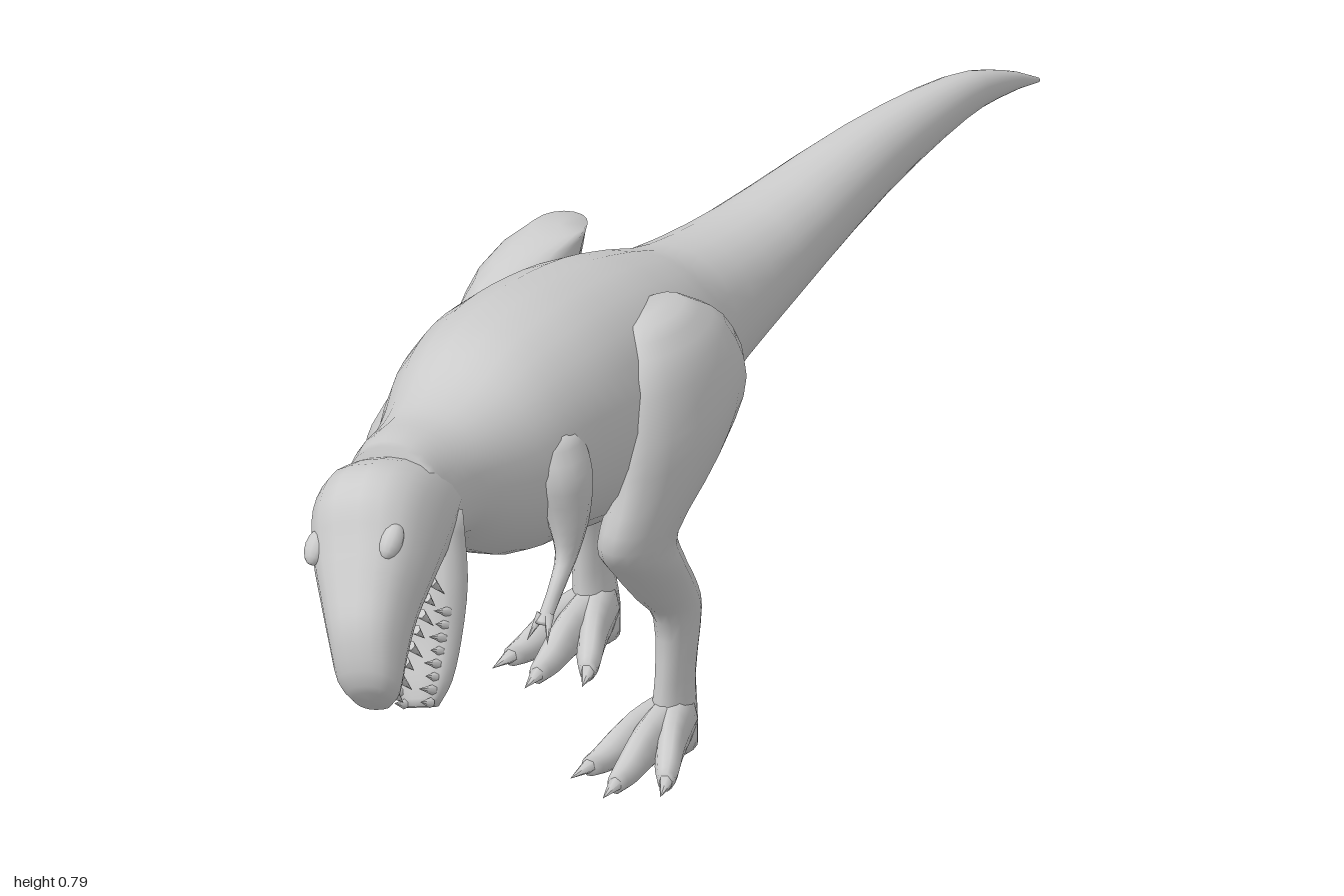
import * as THREE from 'three';

const V = (x, y, z) => new THREE.Vector3(x, y, z);
const material = new THREE.MeshStandardMaterial({ color: 0xcccccc, side: THREE.DoubleSide });

function addMesh(group, name, geometry) {
  const mesh = new THREE.Mesh(geometry, material);
  mesh.name = name;
  group.add(mesh);
  return mesh;
}

// Smooth skin through elliptical sections [x, y, z, halfWidth, halfHeight] lying along two fixed axes
function loft(sections, side, up, { sides = 18, steps = 3, power = 2 } = {}) {
  const path = new THREE.CatmullRomCurve3(sections.map(s => V(s[0], s[1], s[2])), false, 'catmullrom');
  const size = new THREE.CatmullRomCurve3(sections.map(s => V(s[3], s[4], 0)), false, 'catmullrom');
  const rows = (sections.length - 1) * steps;
  const positions = [], index = [];
  const ring = (t, scale) => {
    const c = path.getPoint(t), r = size.getPoint(t);
    for (let i = 0; i < sides; i++) {
      const a = i / sides * Math.PI * 2, co = Math.cos(a), si = Math.sin(a);
      const round = v => Math.sign(v) * Math.pow(Math.abs(v), 2 / power) * scale;
      const p = c.clone().addScaledVector(side, round(co) * r.x).addScaledVector(up, round(si) * r.y);
      positions.push(p.x, p.y, p.z);
    }
  };
  ring(0, 0);
  for (let j = 0; j <= rows; j++) ring(j / rows, 1);
  ring(1, 0);
  const along = path.getPoint(1).sub(path.getPoint(0));
  const forward = side.clone().cross(up).dot(along) > 0;
  for (let j = 0; j < rows + 2; j++) {
    for (let i = 0; i < sides; i++) {
      const a = j * sides + i, b = j * sides + (i + 1) % sides, c = a + sides, d = b + sides;
      if (forward) index.push(a, b, d, a, d, c);
      else index.push(a, d, b, a, c, d);
    }
  }
  const g = new THREE.BufferGeometry();
  g.setAttribute('position', new THREE.Float32BufferAttribute(positions, 3));
  g.setIndex(index);
  g.computeVertexNormals();
  return g;
}

// Cone with its base at a point, aimed along a direction
function spike(group, name, base, dir, radius, length) {
  const m = addMesh(group, name, new THREE.ConeGeometry(radius, length, 6).translate(0, length / 2, 0));
  m.position.copy(base);
  m.quaternion.setFromUnitVectors(V(0, 1, 0), dir.clone().normalize());
}

const X = V(1, 0, 0), Y = V(0, 1, 0), Z = V(0, 0, 1);

function addTeeth(group, name, from, to, side, dir, widths, count) {
  for (let i = 0; i < count; i++) {
    const t = i / (count - 1);
    for (const s of [-1, 1]) {
      const p = from.clone().lerp(to, t).addScaledVector(side, s * THREE.MathUtils.lerp(widths[0], widths[1], t));
      spike(group, name, p, dir, 0.008, i % 2 ? 0.03 : 0.042);
    }
  }
}

// Head is turned, rolled and pitched downward with the mouth open
function makeHead() {
  const head = new THREE.Group();
  head.name = 'head';
  const up = V(-0.17, 0.72, 0.67).normalize();
  const side = up.clone().cross(V(0.2, -0.68, 0.7)).normalize();
  addMesh(head, 'skullAndSnout', loft([
    [0, 0.64, 0.63, 0.065, 0.08], [0.01, 0.65, 0.73, 0.088, 0.113], [0.02, 0.63, 0.80, 0.094, 0.112],
    [0.033, 0.595, 0.85, 0.088, 0.09], [0.05, 0.55, 0.90, 0.07, 0.073], [0.068, 0.505, 0.94, 0.056, 0.062],
    [0.08, 0.455, 0.96, 0.046, 0.045], [0.085, 0.43, 0.962, 0.028, 0.028],
  ], side, up, { power: 2.3 }));

  const jawUp = V(-0.1, 0.38, 0.9).normalize();
  const jawSide = jawUp.clone().cross(V(0.05, -0.2, 0.09)).normalize();
  addMesh(head, 'lowerJaw', loft([
    [0.03, 0.62, 0.70, 0.07, 0.05], [0.055, 0.53, 0.742, 0.075, 0.048], [0.078, 0.455, 0.778, 0.062, 0.034],
    [0.093, 0.4, 0.807, 0.046, 0.026], [0.1, 0.368, 0.825, 0.026, 0.016],
  ], jawSide, jawUp, { power: 2.4 }));

  addTeeth(head, 'upperTooth', V(0.045, 0.55, 0.812), V(0.083, 0.43, 0.938), side, up.clone().negate(), [0.066, 0.028], 8);
  addTeeth(head, 'lowerTooth', V(0.065, 0.495, 0.782), V(0.098, 0.378, 0.836), jawSide, jawUp, [0.058, 0.022], 8);

  // Brow ridges over the eyes
  for (const s of [-1, 1]) {
    const brow = addMesh(head, 'brow', new THREE.SphereGeometry(1, 12, 8));
    brow.scale.set(0.018, 0.03, 0.018);
    brow.position.set(0.03, 0.6, 0.85).addScaledVector(side, s * 0.062).addScaledVector(up, 0.058);
    brow.rotation.x = 2.3;
  }
  return head;
}

// Leg sections run from hip to sole; toes fan forward from the ankle
function makeLeg(name, sections, ankleX, ankleZ) {
  const leg = new THREE.Group();
  leg.name = name;
  addMesh(leg, 'thighAndShin', loft(sections, X, Z, { sides: 16 }));
  for (const s of [-1, 0, 1]) {
    const length = s ? 0.155 : 0.195;
    const tipX = ankleX + s * 0.062, tipZ = ankleZ + length;
    addMesh(leg, 'toe', loft([
      [ankleX, 0.05, ankleZ - 0.01, 0.035, 0.045],
      [ankleX + s * 0.03, 0.042, ankleZ + length * 0.45, 0.024, 0.038],
      [ankleX + s * 0.05, 0.025, ankleZ + length * 0.8, 0.02, 0.023],
      [tipX, 0.02, tipZ, 0.013, 0.016],
    ], X, Y, { sides: 10 }));
    spike(leg, 'claw', V(tipX, 0.021, tipZ - 0.008), V(s * 0.25, -0.15, 1), 0.013, 0.05);
  }
  return leg;
}

// Small two-fingered arm, mirrored by the sign of x
function makeArm(name, s) {
  const arm = new THREE.Group();
  arm.name = name;
  addMesh(arm, 'shoulderAndForearm', loft([
    [s * 0.115, 0.66, 0.42, 0.035, 0.05], [s * 0.135, 0.6, 0.43, 0.042, 0.055], [s * 0.145, 0.53, 0.43, 0.032, 0.04],
    [s * 0.15, 0.475, 0.44, 0.017, 0.026], [s * 0.152, 0.44, 0.473, 0.012, 0.02], [s * 0.15, 0.405, 0.505, 0.011, 0.014],
    [s * 0.149, 0.39, 0.52, 0.012, 0.01],
  ], X, Z, { sides: 12 }));
  for (const f of [-1, 1]) {
    spike(arm, 'finger', V(s * 0.149 + f * 0.006, 0.4, 0.513), V(f * 0.3, -0.8, 0.6 + f * s * 0.15), 0.008, 0.046);
  }
  return arm;
}

export function createModel() {
  const model = new THREE.Group();
  model.name = 'dinosaur';

  // Tail, trunk and neck: [z, x, top, bottom, halfWidth]
  const body = [
    [-1, 0.212, 0.664, 0.656, 0.004], [-0.93, 0.192, 0.7, 0.662, 0.016], [-0.83, 0.157, 0.724, 0.65, 0.032],
    [-0.65, 0.098, 0.71, 0.587, 0.055], [-0.4, 0.032, 0.667, 0.487, 0.09], [-0.2, 0.003, 0.677, 0.42, 0.115],
    [-0.08, 0, 0.715, 0.385, 0.15], [0.05, 0, 0.755, 0.368, 0.17], [0.2, 0, 0.782, 0.39, 0.178],
    [0.32, 0, 0.79, 0.418, 0.175], [0.43, 0, 0.78, 0.437, 0.155], [0.52, 0, 0.745, 0.48, 0.125],
    [0.6, 0, 0.73, 0.53, 0.1], [0.68, 0, 0.735, 0.535, 0.087], [0.74, 0.01, 0.735, 0.55, 0.08],
  ].map(([z, x, top, bottom, w]) => [x, (top + bottom) / 2, z, w, (top - bottom) / 2]);
  addMesh(model, 'trunkAndTail', loft(body, X, Y, { sides: 24, power: 2.15 }));

  model.add(makeHead());
  model.add(makeArm('leftArm', 1), makeArm('rightArm', -1));

  // Left leg steps forward, right leg trails
  model.add(makeLeg('leftLeg', [
    [0.13, 0.725, 0.11, 0.035, 0.07], [0.15, 0.67, 0.1, 0.062, 0.14], [0.168, 0.58, 0.1, 0.067, 0.175],
    [0.17, 0.5, 0.145, 0.06, 0.145], [0.155, 0.41, 0.215, 0.053, 0.088], [0.152, 0.35, 0.18, 0.05, 0.072],
    [0.146, 0.28, 0.11, 0.04, 0.066], [0.145, 0.22, 0.064, 0.032, 0.05], [0.142, 0.12, 0.065, 0.026, 0.045],
    [0.139, 0.05, 0.066, 0.032, 0.05], [0.139, 0.004, 0.068, 0.034, 0.05],
  ], 0.139, 0.065));
  model.add(makeLeg('rightLeg', [
    [-0.13, 0.725, -0.1, 0.04, 0.05], [-0.155, 0.68, -0.05, 0.062, 0.13], [-0.17, 0.58, 0, 0.066, 0.175],
    [-0.17, 0.5, 0, 0.06, 0.155], [-0.158, 0.42, -0.035, 0.052, 0.12], [-0.152, 0.36, -0.085, 0.05, 0.095],
    [-0.146, 0.29, -0.175, 0.042, 0.075], [-0.145, 0.22, -0.234, 0.032, 0.052], [-0.142, 0.12, -0.237, 0.026, 0.046],
    [-0.137, 0.05, -0.236, 0.032, 0.05], [-0.137, 0.004, -0.234, 0.034, 0.05],
  ], -0.137, -0.235));
  return model;
}
